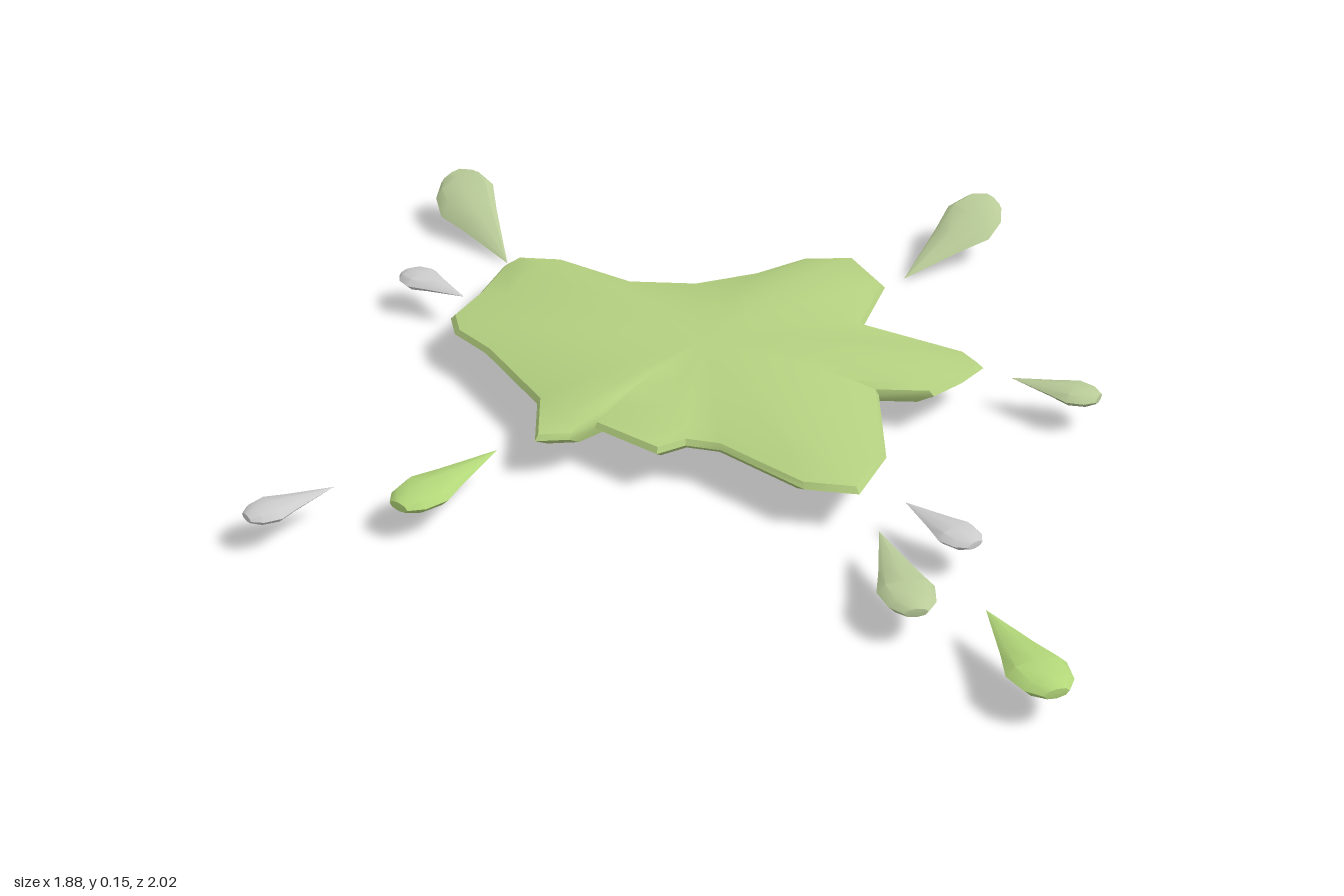
import * as THREE from 'three';
import { toCreasedNormals } from 'three/addons/utils/BufferGeometryUtils.js';

const GREEN = 0xb4d080, PALE = 0xb9cb98, BRIGHT = 0xb2d679, GREY = 0xcccccc;

// Puddle outline as [x, z], running round the splat
const OUTLINE = [
  [-0.62, -0.425], [-0.52, -0.44], [-0.32, -0.37], [-0.16, -0.40], [-0.03, -0.49],
  [0.07, -0.60], [0.18, -0.63], [0.28, -0.51], [0.27, -0.30], [0.53, -0.225],
  [0.575, -0.18], [0.54, -0.10], [0.49, -0.025], [0.37, 0.0], [0.44, 0.26],
  [0.415, 0.42], [0.30, 0.43], [0.09, 0.32], [0.01, 0.32], [-0.04, 0.37],
  [-0.20, 0.30], [-0.24, 0.36], [-0.31, 0.385], [-0.355, 0.23], [-0.54, 0.04],
  [-0.64, -0.03], [-0.675, -0.10], [-0.65, -0.23], [-0.64, -0.38],
];

// Scaled copies of the outline, [scale, y], from the underside over the rim to the dome
const RINGS = [
  [0, 0.078], [0.6, 0.078], [0.93, 0.08], [1, 0.1], [0.98, 0.113],
  [0.86, 0.126], [0.65, 0.143], [0.4, 0.154], [0.2, 0.157], [0, 0.158],
];

function puddleGeometry() {
  const cx = -0.05, cz = -0.04, n = OUTLINE.length;
  const pos = [], index = [];
  for (const [s, y] of RINGS) {
    for (const [x, z] of OUTLINE) pos.push(cx + (x - cx) * s, y, cz + (z - cz) * s);
  }
  for (let r = 0; r < RINGS.length - 1; r++) {
    for (let i = 0; i < n; i++) {
      const j = (i + 1) % n;
      const a = r * n + i, b = r * n + j, c = a + n, d = b + n;
      if (r > 0) index.push(a, c, b);
      if (r < RINGS.length - 2) index.push(b, c, d);
    }
  }
  const g = new THREE.BufferGeometry();
  g.setAttribute('position', new THREE.Float32BufferAttribute(pos, 3));
  g.setIndex(index);
  return toCreasedNormals(g, Math.PI / 5);
}

// Flattened teardrop from its pointed tip to its round end; slope lifts it towards the back
function dropGeometry([tx, tz], [ex, ez], width, tipY, slope) {
  const length = Math.hypot(ex - tx, ez - tz);
  const profile = [[0, 0], [0.66, 0.5], [1, 0.72], [0.82, 0.9], [0.42, 1], [0, 1.005]]
    .map(([r, t]) => new THREE.Vector2(r * width / 2, t * length));
  const g = new THREE.LatheGeometry(profile, 8);
  g.rotateX(Math.PI / 2);
  g.scale(1, 0.4, 1);
  g.rotateY(Math.atan2(ex - tx, ez - tz));
  const p = g.attributes.position;
  for (let i = 0; i < p.count; i++) p.setY(i, p.getY(i) - p.getZ(i) * slope);
  g.translate(tx, tipY, tz);
  return toCreasedNormals(g, Math.PI / 5);
}

// name, tip, round end, width, colour, tip height, slope
const DROPS = [
  ['backRightDrop', [-0.70, -0.58], [-0.92, -0.80], 0.15, PALE, 0.005, 0.52],
  ['backLeftDrop', [0.285, -0.74], [0.46, -0.99], 0.145, PALE, 0.01, 0.47],
  ['rightGreyDrop', [-0.69, -0.235], [-0.87, -0.32], 0.1, GREY],
  ['leftDrop', [0.64, -0.175], [0.845, -0.13], 0.1, PALE],
  ['frontRightDrop', [-0.385, 0.42], [-0.51, 0.69], 0.125, BRIGHT],
  ['frontRightGreyDrop', [-0.67, 0.65], [-0.80, 0.81], 0.095, GREY],
  ['frontLeftGreyDrop', [0.51, 0.405], [0.68, 0.53], 0.095, GREY],
  ['frontLeftDrop', [0.48, 0.53], [0.61, 0.80], 0.12, PALE],
  ['outerFrontLeftDrop', [0.74, 0.755], [0.915, 0.995], 0.13, BRIGHT],
];

export function createModel() {
  const model = new THREE.Group();
  model.name = 'splat';
  const add = (name, geometry, color) => {
    const mesh = new THREE.Mesh(geometry, new THREE.MeshStandardMaterial({ color }));
    mesh.name = name;
    model.add(mesh);
  };

  add('puddle', puddleGeometry(), GREEN);
  for (const [name, tip, end, width, color, tipY = 0.087, slope = 0] of DROPS) {
    add(name, dropGeometry(tip, end, width, tipY, slope), color);
  }
  return model;
}
